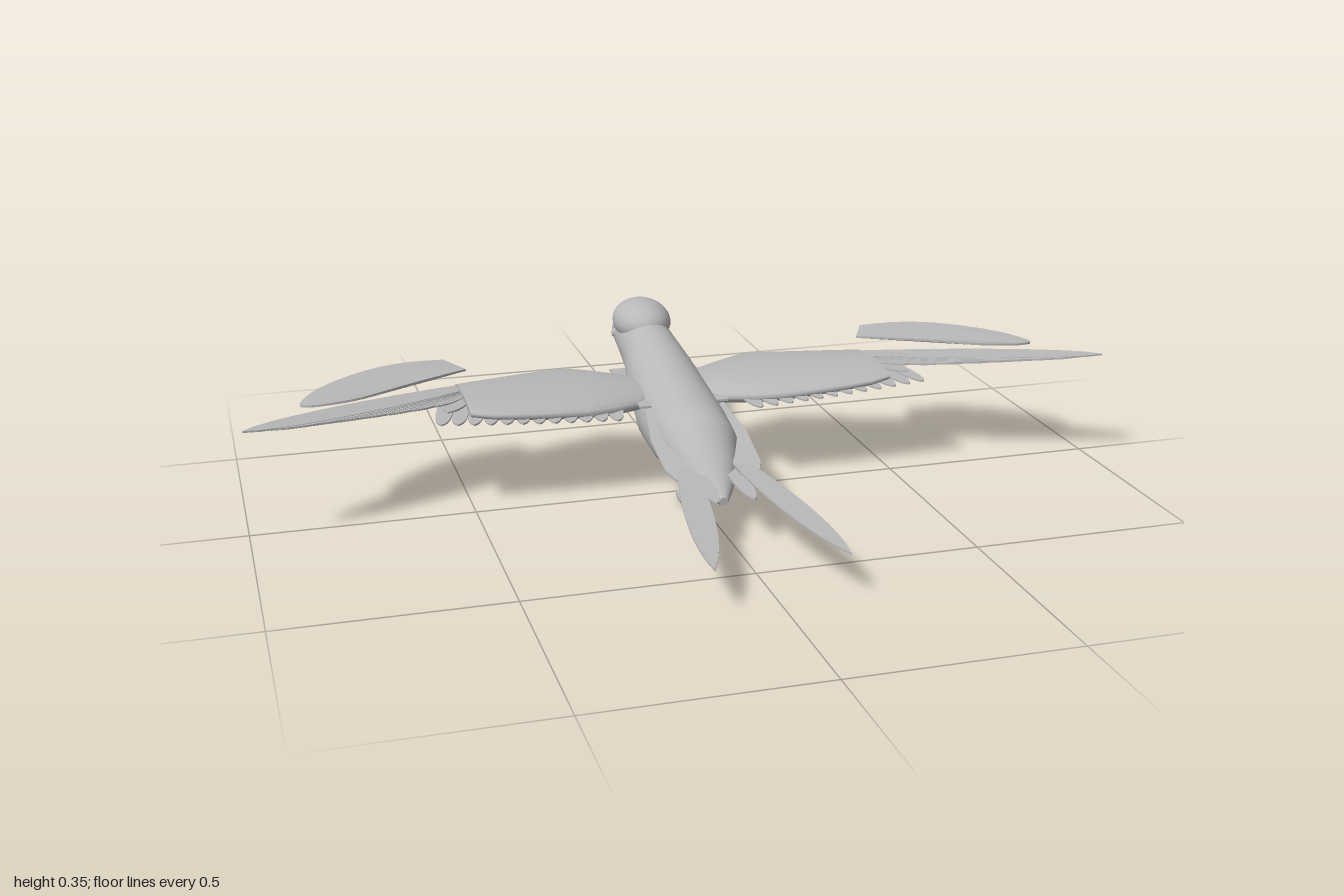
import * as THREE from 'three';

const grey = new THREE.MeshStandardMaterial({ color: 0xb8b8b8, side: THREE.DoubleSide });
grey.name = 'plumage grey';

function add(parent, name, geometry) {
  const mesh = new THREE.Mesh(geometry, grey);
  mesh.name = name;
  parent.add(mesh);
  return mesh;
}

// Skin a run of closed rings, with flat caps on both ends
function loft(rings) {
  const n = rings[0].length, pos = [], idx = [];
  rings.forEach(r => r.forEach(p => pos.push(...p)));
  for (let i = 0; i < rings.length - 1; i++) {
    for (let j = 0; j < n; j++) {
      const a = i * n + j, b = i * n + (j + 1) % n;
      idx.push(a, b, a + n, b, b + n, a + n);
    }
  }
  [rings[0], rings[rings.length - 1]].forEach((r, end) => {
    const s = pos.length / 3;
    r.forEach(p => pos.push(...p));
    for (let j = 1; j < n - 1; j++) {
      if (end) idx.push(s, s + j, s + j + 1);
      else idx.push(s, s + j + 1, s + j);
    }
  });
  const g = new THREE.BufferGeometry();
  g.setAttribute('position', new THREE.Float32BufferAttribute(pos, 3));
  g.setIndex(idx);
  g.computeVertexNormals();
  return g;
}

// Elliptical ring of unit-circle samples mapped by a function
const ring = (n, map) => Array.from({ length: n }, (_, j) => {
  const a = j / n * Math.PI * 2;
  return map(Math.cos(a), Math.sin(a));
});

// Rings along z: [z, bottom, top, half width]
const loftZ = sections => loft(sections.map(([z, lo, hi, w]) =>
  ring(32, (c, s) => [c * w, (lo + hi) / 2 + s * (hi - lo) / 2, z])));

// Thin leaf-shaped blade from root to tip
function feather(root, tip, width, blunt = 0.85) {
  const a = new THREE.Vector3(...root), b = new THREE.Vector3(...tip);
  const len = a.distanceTo(b), w = width / 2;
  const s = new THREE.Shape();
  s.moveTo(-w * 0.45, 0);
  s.bezierCurveTo(-w, len * 0.25, -w * 1.3, len * blunt, 0, len);
  s.bezierCurveTo(w * 1.3, len * blunt, w, len * 0.25, w * 0.45, 0);
  const g = new THREE.ExtrudeGeometry(s, { depth: 0.004, bevelEnabled: false, curveSegments: 10 });
  const dir = b.clone().sub(a).normalize();
  const side = dir.clone().cross(new THREE.Vector3(0, 1, 0)).normalize();
  const up = side.clone().cross(dir);
  return g.applyMatrix4(new THREE.Matrix4().makeBasis(side, dir, up).setPosition(a));
}

// Thin plate cut from a plan outline of [x, z]
function plate(points, height) {
  const s = new THREE.Shape(points.map(([x, z]) => new THREE.Vector2(x, -z)));
  const g = new THREE.ExtrudeGeometry(s, { depth: 0.005, bevelEnabled: false });
  g.rotateX(-Math.PI / 2);
  const p = g.attributes.position;
  for (let i = 0; i < p.count; i++) p.setY(i, p.getY(i) + height(p.getX(i), p.getZ(i)));
  g.computeVertexNormals();
  return g;
}

function buildSide() {
  const side = new THREE.Group();

  // Inner wing, rings along x: [x, front z, back z, bottom, top]
  const wing = [
    [0.06, -0.26, -0.10, 0.165, 0.215], [0.10, -0.285, -0.07, 0.163, 0.222],
    [0.17, -0.315, -0.03, 0.165, 0.232], [0.235, -0.34, -0.01, 0.17, 0.237],
    [0.36, -0.295, 0.0, 0.185, 0.24], [0.45, -0.262, -0.003, 0.197, 0.241],
    [0.50, -0.243, -0.02, 0.206, 0.24],
  ];
  add(side, 'innerWing', loft(wing.map(([x, f, b, lo, hi]) => ring(28, (c, s) =>
    [x, (lo + hi) / 2 + c * (hi - lo) / 2, (f + b) / 2 + s * (b - f) / 2]))));
  add(side, 'wingRoot', plate([[0.02, -0.34], [0.105, -0.34], [0.105, -0.04], [0.02, -0.04]], () => 0.195));

  // Scalloped feathers along the trailing edge
  for (let i = 0; i < 12; i++) {
    const x = 0.17 + i * 0.034, y = 0.188 + i * 0.0025;
    add(side, 'secondaryFeather', feather([x - 0.02, y + 0.01, -0.17],
      [x + i * 0.0025, y, 0.012 + 0.006 * Math.sin(i * 0.28)], 0.042, 0.95));
  }

  // Fanned outer wing feathers
  const tips = [[0.55, -0.03], [0.58, -0.075], [0.64, -0.045], [0.70, -0.02], [0.76, 0.003],
    [0.82, 0.025], [0.88, 0.046], [0.94, 0.068], [1.0, 0.08]];
  tips.forEach(([x, z], i) => add(side, 'primaryFeather',
    feather([0.48, 0.218 + i * 0.001, -0.21], [x, 0.225 + (x - 0.5) * 0.08, z], 0.06 + i * 0.003)));

  // Raised covert above the outer wing
  const edge = new THREE.SplineCurve([[0.52, -0.275], [0.62, -0.26], [0.72, -0.215], [0.82, -0.135],
    [0.865, -0.06], [0.862, -0.03], [0.81, -0.02], [0.73, -0.035], [0.62, -0.1], [0.48, -0.195]]
    .map(p => new THREE.Vector2(...p)));
  add(side, 'wingCovert', plate(edge.getPoints(40).map(p => [p.x, p.y]),
    x => 0.272 + 0.008 * Math.sin((x - 0.48) * 8)));

  // Tail feathers and the sloping covert at their root
  add(side, 'longTailFeather', feather([0.06, 0.125, 0.17], [0.143, 0.096, 0.675], 0.066, 0.75));
  add(side, 'shortTailFeather', feather([0.04, 0.115, 0.16], [0.042, 0.105, 0.36], 0.04));
  add(side, 'tailCovert', plate([[0.03, -0.04], [0.095, -0.04], [0.113, 0.08], [0.11, 0.19],
    [0.09, 0.24], [0.05, 0.23]], (x, z) => 0.188 - (z + 0.04) * 0.28));

  // Eye and foot
  const eye = add(side, 'eye', new THREE.SphereGeometry(0.012, 16, 12));
  eye.position.set(0.057, 0.255, -0.463);
  const foot = add(side, 'foot', new THREE.SphereGeometry(1, 16, 12));
  foot.scale.set(0.011, 0.012, 0.043);
  foot.position.set(0.037, 0.012, 0.075);
  return side;
}

export function createModel() {
  const bird = new THREE.Group();
  bird.name = 'bird';

  // Body from beak end to tail end
  add(bird, 'body', loftZ([
    [-0.52, 0.202, 0.295, 0.045], [-0.50, 0.198, 0.305, 0.058], [-0.43, 0.187, 0.315, 0.066],
    [-0.34, 0.152, 0.307, 0.069], [-0.24, 0.105, 0.283, 0.084], [-0.12, 0.052, 0.255, 0.095],
    [0.0, 0.05, 0.23, 0.096], [0.10, 0.054, 0.214, 0.086], [0.18, 0.058, 0.155, 0.058],
    [0.23, 0.06, 0.115, 0.035], [0.27, 0.063, 0.082, 0.01],
  ]));

  // Rounded cap on the head
  const cap = add(bird, 'headCap', new THREE.SphereGeometry(1, 32, 20));
  cap.scale.set(0.07, 0.054, 0.098);
  cap.position.set(0, 0.292, -0.428);

  // Beak
  add(bird, 'beak', loftZ([
    [-0.68, 0.226, 0.23, 0.002], [-0.64, 0.223, 0.237, 0.009],
    [-0.58, 0.221, 0.246, 0.017], [-0.50, 0.222, 0.256, 0.021],
  ]));

  // Mirrored halves
  for (const sign of [1, -1]) {
    const half = buildSide();
    half.name = sign > 0 ? 'leftHalf' : 'rightHalf';
    half.scale.x = sign;
    bird.add(half);
  }
  return bird;
}
